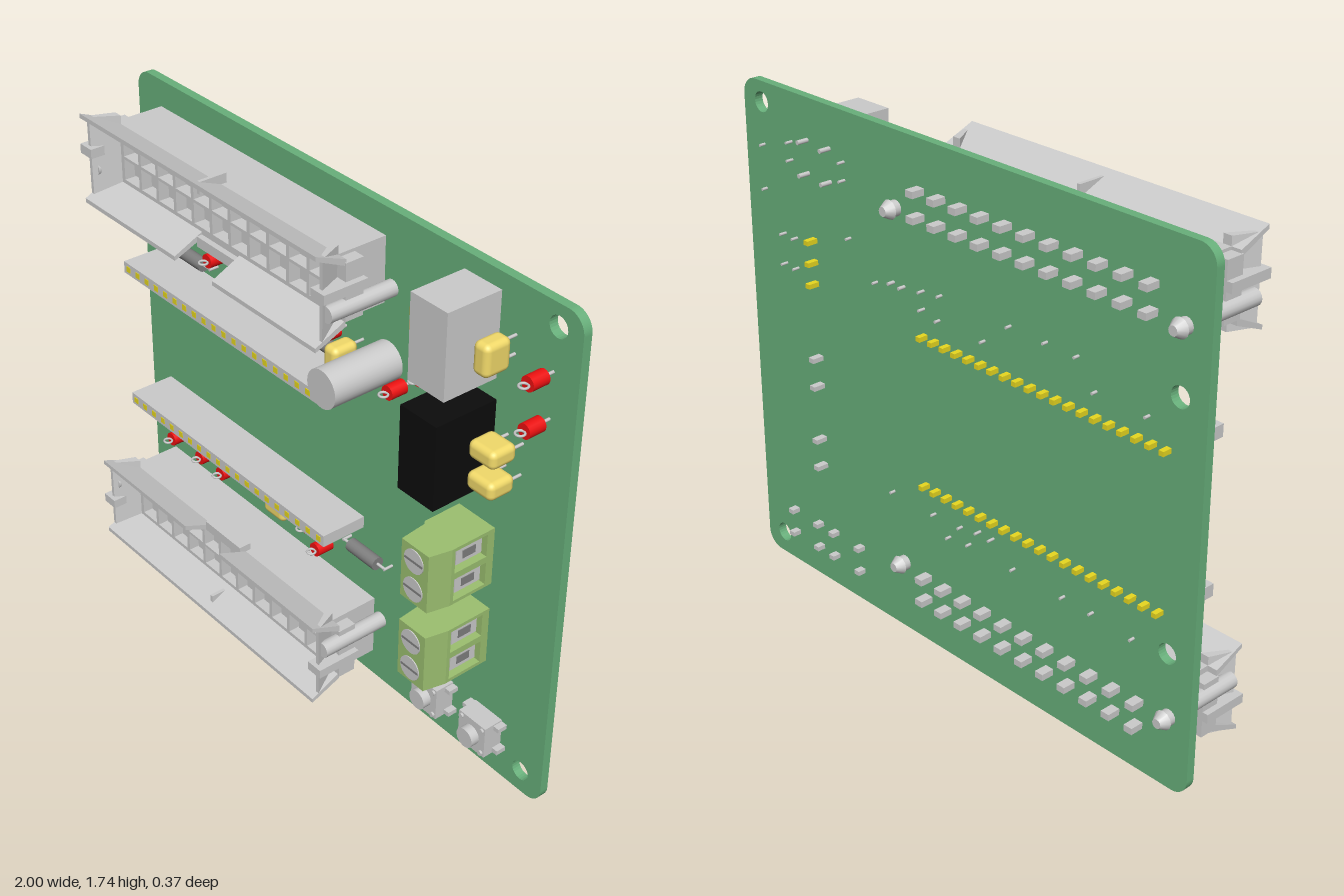
import * as THREE from 'three';
import { RoundedBoxGeometry } from 'three/addons/geometries/RoundedBoxGeometry.js';

const mat = (color) => new THREE.MeshStandardMaterial({ color });
const GREY = mat(0xcccccc), BOARD = mat(0x68b07b), YELLOW = mat(0xf2da6a), RED = mat(0xee1111);
const BLACK = mat(0x0c0c0c), GREEN = mat(0x9cc070), DARK = mat(0x808080), GOLD = mat(0xe8d820);
const FACE = -0.095; // front surface of the board

function add(parent, name, geo, material = GREY, x = 0, y = 0, z = 0) {
  const m = new THREE.Mesh(geo, material);
  m.name = name;
  m.position.set(x, y, z);
  parent.add(m);
  return m;
}
// box given by its limits
function block(parent, name, x0, x1, y0, y1, z0, z1, material = GREY) {
  return add(parent, name, new THREE.BoxGeometry(x1 - x0, y1 - y0, z1 - z0), material,
    (x0 + x1) / 2, (y0 + y1) / 2, (z0 + z1) / 2);
}
// cylinder along z
function rod(parent, name, x, y, z0, z1, r, material = GREY, sides = 16, r2 = r) {
  const g = new THREE.CylinderGeometry(r2, r, z1 - z0, sides).rotateX(Math.PI / 2);
  return add(parent, name, g, material, x, y, (z0 + z1) / 2);
}
function rectPath(x, y, w, h, P = THREE.Path) {
  const [a, b] = [w / 2, h / 2];
  return new P([[-a, -b], [a, -b], [a, b], [-a, b]].map(([u, v]) => new THREE.Vector2(x + u, y + v)));
}
const extrude = (shape, depth) => new THREE.ExtrudeGeometry(shape, { depth, bevelEnabled: false, curveSegments: 12 });
const poly = (pts) => new THREE.Shape(pts.map(([u, v]) => new THREE.Vector2(u, v)));
function group(parent, name, x, y) {
  const g = new THREE.Group();
  g.name = name;
  g.position.set(x, y, 0);
  parent.add(g);
  return g;
}

function circuitBoard(root) {
  const s = new THREE.Shape(), r = 0.06, W = 1, H = 1.74;
  s.absarc(W - r, r, r, -Math.PI / 2, 0);
  s.absarc(W - r, H - r, r, 0, Math.PI / 2);
  s.absarc(-W + r, H - r, r, Math.PI / 2, Math.PI);
  s.absarc(-W + r, r, r, Math.PI, Math.PI * 1.5);
  for (const [x, y] of [[0.91, 1.67], [0.91, 0.08], [-0.9, 1.28], [-0.9, 0.46]])
    s.holes.push(new THREE.Path().absarc(x, y, 0.034, 0, Math.PI * 2, true));
  add(root, 'circuitBoard', extrude(s, 0.03), BOARD, 0, 0, FACE - 0.03);
}

// shrouded 2 x 11 socket, key notch facing -y
function ribbonConnector(root, x, y, turn) {
  const g = group(root, 'ribbonConnector', x, y);
  g.rotation.z = turn;
  const shell = rectPath(0, 0, 1.1, 0.22, THREE.Shape);
  for (let i = -5; i <= 5; i++) for (const v of [-0.041, 0.041]) {
    const u = i * 0.0935;
    shell.holes.push(rectPath(u, v, 0.08, 0.072));
    block(g, 'contact', u - 0.021, u + 0.021, v - 0.021, v + 0.021, -0.07, 0.06);
    block(g, 'solderPin', u - 0.016, u + 0.016, v - 0.011, v + 0.011, -0.172, FACE);
  }
  add(g, 'cellHousing', extrude(shell, 0.145), GREY, 0, 0, -0.06);
  block(g, 'housingFloor', -0.55, 0.55, -0.11, 0.11, FACE, -0.06);

  // flared rim: walls extruded along x, then the ends along y
  const wall = [[0.088, 0.08], [0.11, 0.08], [0.155, 0.19], [0.14, 0.19]];
  const longWall = (x0, x1, side) => {
    const geo = extrude(poly(wall.map(([v, z]) => [side * v, z])), x1 - x0);
    // profile (y, z) to world: shape x -> y, shape y -> z, depth -> x
    geo.applyMatrix4(new THREE.Matrix4().set(0, 0, 1, x0, 1, 0, 0, 0, 0, 1, 0, 0, 0, 0, 0, 1));
    add(g, 'rimWall', geo);
  };
  longWall(-0.585, 0.585, 1);
  longWall(-0.585, -0.095, -1);
  longWall(0.095, 0.585, -1);
  block(g, 'keyNotch', -0.095, 0.095, -0.135, -0.1, 0.06, 0.105);
  block(g, 'rib', -0.006, 0.006, 0.1, 0.142, 0.06, 0.16);
  for (const s of [-1, 1]) {
    const end = extrude(poly([[0.52, 0.08], [0.55, 0.08], [0.585, 0.165], [0.572, 0.165]].map(([u, z]) => [s * u, z])), 0.28);
    end.rotateX(Math.PI / 2).scale(1, 1, 1);
    end.applyMatrix4(new THREE.Matrix4().set(1, 0, 0, 0, 0, -1, 0, -0.14, 0, 0, -1, 0, 0, 0, 0, 1));
    end.rotateX(Math.PI).translate(0, 0, 0);
    const b = end.boundingBox ?? (end.computeBoundingBox(), end.boundingBox);
    end.translate(0, -(b.min.y + b.max.y) / 2, 0.08 - b.min.z);
    add(g, 'rimEnd', end);
    // locating post with a split snap tip, and latch ear
    rod(g, 'locatingPost', s * 0.583, -0.045, FACE, 0.15, 0.027);
    rod(g, 'snapTip', s * 0.583, -0.045, -0.15, FACE, 0.026);
    rod(g, 'snapPoint', s * 0.583, -0.045, -0.178, -0.15, 0.016, GREY, 12, 0.032);
    block(g, 'latchEar', Math.min(s * 0.55, s * 0.61), Math.max(s * 0.55, s * 0.61), 0.008, 0.04, 0.02, 0.18);
    block(g, 'latchBase', Math.min(s * 0.54, s * 0.59), Math.max(s * 0.54, s * 0.59), -0.09, 0.1, 0.02, 0.085);
  }
}

function socketStrip(root, y) {
  const g = group(root, 'socketStrip', -0.37, y);
  block(g, 'stripBody', -0.525, 0.525, -0.021, 0.021, FACE, 0.07);
  for (let i = 0; i < 20; i++) {
    const u = (i - 9.5) * 0.0526;
    block(g, 'stripContact', u - 0.01, u + 0.01, -0.01, 0.01, 0.06, 0.072, GOLD);
    block(g, 'stripPin', u - 0.009, u + 0.009, -0.008, 0.008, -0.158, FACE, GOLD);
  }
}

function filmCapacitor(root, x, y, upright) {
  const g = group(root, 'filmCapacitor', x, y);
  if (upright) g.rotation.z = Math.PI / 2;
  add(g, 'capacitorBody', new RoundedBoxGeometry(0.105, 0.06, 0.095, 3, 0.02), YELLOW, 0, 0, -0.008);
  for (const s of [-1, 1]) rod(g, 'lead', s * 0.03, 0, -0.15, -0.04, 0.005, GREY, 8);
}

function standingResistor(root, x, y) {
  const g = group(root, 'standingResistor', x, y);
  rod(g, 'resistorBody', 0, 0, -0.06, 0, 0.024, RED, 20);
  add(g, 'wireLoop', new THREE.TorusGeometry(0.014, 0.004, 6, 16).rotateX(Math.PI / 2), GREY, 0, 0, 0.014);
  rod(g, 'lead', 0, 0, -0.145, -0.06, 0.005, GREY, 8);
}

function diode(root, x, y) {
  const g = group(root, 'diode', x, y);
  const along = (r, l) => new THREE.CylinderGeometry(r, r, l, 16).rotateZ(Math.PI / 2);
  add(g, 'diodeBody', along(0.023, 0.13), DARK, 0, 0, -0.065);
  add(g, 'diodeWire', along(0.005, 0.2), GREY, 0, 0, -0.065);
  for (const s of [-1, 1]) rod(g, 'lead', s * 0.1, 0, -0.145, -0.06, 0.005, GREY, 8);
}

function screwTerminal(root, y) {
  const g = group(root, 'screwTerminal', 0.655, y);
  const profile = poly([[-0.075, FACE], [0.045, FACE], [0.045, 0.145], [-0.055, 0.145], [-0.065, 0.05], [-0.075, 0.04]]);
  const body = extrude(profile, 0.205);
  // profile (x, z) swept along -y
  body.rotateX(Math.PI / 2).translate(0, 0.1025, 0);
  add(g, 'terminalBody', body, GREEN);
  const slope = extrude(poly([[0.045, 0.07], [0.077, 0.07], [0.06, 0.145], [0.045, 0.145]]), 0.205);
  add(g, 'terminalSlope', slope.rotateX(Math.PI / 2).translate(0, 0.1025, 0), GREEN);
  // wire-entry side with two openings; shape axes become -z and y
  const face = rectPath(0.0125, 0, 0.165, 0.205, THREE.Shape);
  for (const v of [-0.051, 0.051]) {
    face.holes.push(rectPath(0.005, v, 0.125, 0.08));
    block(g, 'wireClamp', 0.044, 0.062, v - 0.028, v + 0.028, -0.06, 0.04);
    block(g, 'wireEntry', 0.06, 0.064, v - 0.014, v + 0.014, -0.035, 0.015, DARK);
    rod(g, 'screw', 0, v, 0.12, 0.148, 0.041, GREY, 24);
    block(g, 'screwSlot', -0.038, 0.038, v - 0.004, v + 0.004, 0.14, 0.1495, DARK);
    block(g, 'terminalPin', -0.012, 0.012, v - 0.008, v + 0.008, -0.168, FACE);
  }
  add(g, 'entryFrame', extrude(face, 0.032).rotateY(Math.PI / 2), GREEN, 0.045, 0, 0);
}

function pushButton(root, x, y) {
  const g = group(root, 'pushButton', x, y);
  block(g, 'buttonBody', -0.058, 0.058, -0.058, 0.058, FACE, -0.025);
  rod(g, 'plunger', 0, 0, -0.025, 0.005, 0.034, GREY, 24);
  for (const u of [-1, 1]) for (const v of [-1, 1]) {
    rod(g, 'rivet', u * 0.045, v * 0.045, -0.025, -0.018, 0.009, GREY, 10);
    block(g, 'buttonLeg', u * 0.068 - 0.012, u * 0.068 + 0.012, v * 0.045 - 0.008, v * 0.045 + 0.008, -0.155, -0.06);
  }
}

export function createModel() {
  const root = new THREE.Group();
  root.name = 'controlBoard';
  circuitBoard(root);
  ribbonConnector(root, -0.325, 1.538, 0);
  ribbonConnector(root, -0.335, 0.206, Math.PI);
  for (const y of [1.11, 0.59]) socketStrip(root, y);
  for (const y of [0.807, 0.507]) screwTerminal(root, y);
  for (const x of [0.54, 0.76]) pushButton(root, x, 0.165);

  // relay and regulator blocks
  block(root, 'relay', 0.55, 0.697, 1.405, 1.685, FACE, 0.1);
  for (const x of [0.57, 0.68]) for (const y of [1.6, 1.49]) rod(root, 'relayPin', x, y, -0.165, FACE, 0.008, GREY, 8);
  block(root, 'regulator', 0.555, 0.703, 1.055, 1.338, FACE, 0.128, BLACK);
  for (const y of [1.12, 1.195, 1.27]) block(root, 'regulatorPin', 0.65, 0.67, y - 0.008, y + 0.008, -0.165, FACE, GOLD);

  // round capacitor
  rod(root, 'canCapacitor', 0.25, 1.245, FACE, 0.16, 0.064, GREY, 32);
  for (const s of [-1, 1]) rod(root, 'canLead', 0.25 + s * 0.025, 1.245, -0.15, FACE, 0.006, GREY, 8);

  for (const [x, y, up] of [[0.5, 1.545, 1], [0.76, 1.545, 1], [0.135, 1.23, 1],
    [0.785, 1.25, 0], [0.785, 1.145, 0], [-0.145, 0.525, 0]]) filmCapacitor(root, x, y, up);
  for (const [x, y] of [[0.905, 1.53], [0.905, 1.38], [0.48, 1.33], [0.355, 1.22], [0.055, 1.27], [-0.245, 1.27],
    [-0.395, 1.27], [-0.52, 1.27], [-0.77, 0.45], [-0.605, 0.46], [-0.485, 0.46], [-0.03, 0.505], [0.025, 0.445]])
    standingResistor(root, x, y);
  for (const [x, y] of [[-0.693, 1.185], [-0.035, 1.185], [0.195, 0.5], [-0.17, 0.46]]) diode(root, x, y);
  return root;
}
